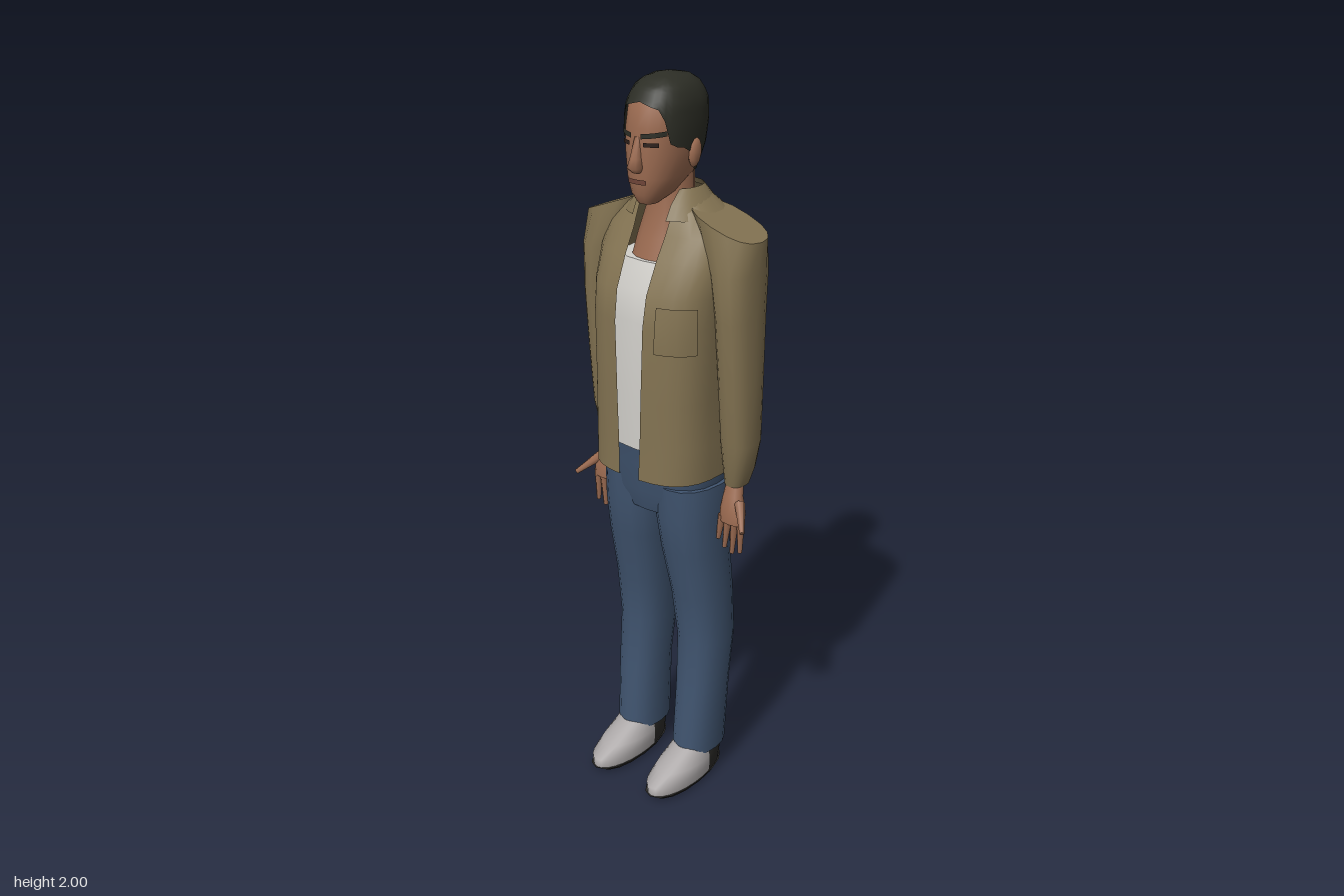
import * as THREE from 'three';

const mat = (name, color, side = THREE.FrontSide) => {
  const m = new THREE.MeshStandardMaterial({ color, side });
  m.name = name;
  return m;
};

// A ring is [y, half width, back z, front z, centre x, tilt]; angle 0 faces +z.
const ringPoint = (r, a, n, grow = 0) => {
  const [y, rx, zb, zf, cx = 0, tilt = 0] = r;
  const bend = (v) => Math.sign(v) * Math.pow(Math.abs(v), 2 / n);
  const dx = (rx + grow) * bend(Math.sin(a));
  return [cx + dx, y + tilt * dx, (zb + zf) / 2 + ((zf - zb) / 2 + grow) * bend(Math.cos(a))];
};

// Angle at which a ring reaches sideways distance w on its front half
const angleAt = (w, r, n) => Math.sign(w) * Math.asin(Math.min(1, Math.pow(Math.abs(w) / r[1], n / 2)));

const ringAt = (rings, y) => {
  let i = 0;
  while (i < rings.length - 2 && y > rings[i + 1][0]) i++;
  const t = (y - rings[i][0]) / (rings[i + 1][0] - rings[i][0]);
  return rings[i].map((v, k) => v + (rings[i + 1][k] - v) * t);
};

// Smooth surface from a grid of points, rows going up
function gridMesh(name, material, rows, cols, point, closed = false, caps = false) {
  const pos = [], index = [], w = closed ? cols : cols + 1;
  for (let i = 0; i <= rows; i++) for (let j = 0; j < w; j++) pos.push(...point(i, j / cols));
  for (let i = 0; i < rows; i++) for (let j = 0; j < cols; j++) {
    const a = i * w + j, b = i * w + (j + 1) % w, c = b + w, d = a + w;
    index.push(a, b, c, a, c, d);
  }
  if (caps) for (const row of [0, rows]) {
    const s = pos.length / 3, mid = [0, 0, 0];
    for (let j = 0; j < cols; j++) {
      const p = point(row, j / cols);
      pos.push(...p);
      p.forEach((v, k) => { mid[k] += v / cols; });
    }
    pos.push(...mid);
    for (let j = 0; j < cols; j++) {
      const a = s + j, b = s + (j + 1) % cols;
      if (row) index.push(a, b, s + cols); else index.push(b, a, s + cols);
    }
  }
  const g = new THREE.BufferGeometry();
  g.setAttribute('position', new THREE.Float32BufferAttribute(pos, 3));
  g.setIndex(index);
  g.computeVertexNormals();
  const mesh = new THREE.Mesh(g, material);
  mesh.name = name;
  return mesh;
}

// Loft through rings, either all round or between two angles
function loft(name, material, rings, { n = 2.2, seg = 16, from, to, grow = 0 } = {}) {
  return gridMesh(name, material, rings.length - 1, seg, (i, u) => {
    const r = rings[i];
    const a = from ? from(r) : -Math.PI, b = from ? to(r) : Math.PI;
    return ringPoint(r, a + (b - a) * u, n, grow);
  }, !from, !from);
}

// Thin plate following a lofted body between x0..x1 and y0..y1
function patch(name, material, rings, n, x0, x1, y0, y1, grow, slope = 0) {
  return gridMesh(name, material, 2, 4, (i, u) => {
    const y = y0 + (y1 - y0) * i / 2 + slope * (u - 0.5);
    const r = ringAt(rings, y);
    const a = angleAt(x0, r, n), b = angleAt(x1, r, n);
    return ringPoint(r, a + (b - a) * u, n, grow);
  });
}

function limb(name, material, p, q, r0, r1) {
  const a = new THREE.Vector3(...p), b = new THREE.Vector3(...q), d = b.clone().sub(a);
  const m = new THREE.Mesh(new THREE.CylinderGeometry(r1, r0, d.length(), 6), material);
  m.position.copy(a).addScaledVector(d, 0.5);
  m.quaternion.setFromUnitVectors(new THREE.Vector3(0, 1, 0), d.normalize());
  m.name = name;
  return m;
}

export function createModel() {
  const model = new THREE.Group();
  model.name = 'standingMan';
  const add = (...m) => model.add(...m);
  const jacket = mat('jacketTan', 0x837352, THREE.DoubleSide);
  const denim = mat('denimBlue', 0x40546f);
  const skin = mat('skin', 0x9a6a50);
  const hair = mat('hairDark', 0x2c2d25, THREE.DoubleSide);
  const shirtWhite = mat('shirtWhite', 0xd2d0cb);
  const shoeGrey = mat('shoeGrey', 0xaaa6a6);
  const dark = mat('soleDark', 0x2b2a27);
  const lip = mat('lip', 0x74483b);
  const eyeDark = mat('eyeDark', 0x2a1d18);

  // Jacket body, open down the front
  const body = [
    [0.98, 0.178, -0.185, 0.145], [1.08, 0.178, -0.168, 0.142], [1.2, 0.175, -0.155, 0.142],
    [1.4, 0.18, -0.163, 0.14], [1.48, 0.185, -0.172, 0.128], [1.56, 0.19, -0.178, 0.092],
    [1.62, 0.18, -0.165, 0.058], [1.67, 0.13, -0.14, 0.037], [1.715, 0.07, -0.105, 0.02],
  ];
  const gap = (r, n) => angleAt(0.032 + 0.03 * (r[0] - 0.98), r, n);
  const open = (n) => ({ n, seg: 28, from: (r) => gap(r, n), to: (r) => 2 * Math.PI - gap(r, n) });
  add(loft('jacketBody', jacket, body, open(2.8)));
  add(loft('collar', jacket, [
    [1.655, 0.125, -0.15, 0.065], [1.69, 0.1, -0.135, 0.05], [1.725, 0.072, -0.11, 0.025],
  ], open(2.3)));
  add(patch('chestPocket', jacket, body, 2.8, 0.08, 0.165, 1.34, 1.46, 0.007));

  // Shirt, chest and neck
  add(loft('shirt', shirtWhite, [
    [1.05, 0.15, -0.13, 0.118], [1.2, 0.15, -0.13, 0.122], [1.4, 0.15, -0.14, 0.12],
    [1.48, 0.14, -0.14, 0.108], [1.55, 0.12, -0.13, 0.082],
  ], { n: 2.6 }));
  add(loft('neck', skin, [
    [1.5, 0.1, -0.12, 0.085], [1.6, 0.08, -0.1, 0.055], [1.68, 0.058, -0.085, 0.03],
    [1.78, 0.056, -0.085, 0.03],
  ]));

  // Trousers
  add(loft('hips', denim, [
    [0.86, 0.12, -0.12, 0.08], [0.92, 0.165, -0.145, 0.096], [1.0, 0.165, -0.15, 0.105],
    [1.06, 0.158, -0.14, 0.116],
  ], { n: 2.6, seg: 20 }));

  for (const s of [1, -1]) {
    const side = s > 0 ? 'left' : 'right';
    const mirror = (rings) => rings.map(([y, rx, zb, zf, cx, t = 0]) => [y, rx, zb, zf, s * cx, s * t]);

    add(loft(side + 'Leg', denim, mirror([
      [0.09, 0.064, -0.118, 0.05, 0.103], [0.3, 0.066, -0.127, 0.035, 0.106],
      [0.45, 0.071, -0.145, 0.024, 0.104], [0.6, 0.077, -0.135, 0.042, 0.099],
      [0.75, 0.083, -0.122, 0.075, 0.092], [0.85, 0.088, -0.126, 0.09, 0.088],
      [0.95, 0.088, -0.15, 0.096, 0.088],
    ]), { n: 2.3 }));

    // Shoe: sole, pale front and dark heel
    const shoe = mirror([
      [0.015, 0.06, -0.112, 0.183, 0.103], [0.045, 0.063, -0.115, 0.185, 0.103],
      [0.07, 0.061, -0.115, 0.14, 0.103], [0.11, 0.055, -0.112, 0.052, 0.103],
    ]);
    const split = (r) => Math.acos((-0.01 - (r[2] + r[3]) / 2) / ((r[3] - r[2]) / 2));
    add(loft(side + 'Sole', dark, mirror([
      [0, 0.053, -0.105, 0.165, 0.103], [0.017, 0.063, -0.115, 0.188, 0.103],
    ])));
    add(loft(side + 'ShoeFront', shoeGrey, shoe, { n: 2, from: (r) => -split(r), to: split }));
    add(loft(side + 'ShoeHeel', dark, shoe, { n: 2, from: split, to: (r) => 2 * Math.PI - split(r) }));

    // Sleeve with a sloping shoulder cap
    add(loft(side + 'Sleeve', jacket, mirror([
      [0.955, 0.028, -0.085, -0.015, 0.208], [1.0, 0.036, -0.097, -0.005, 0.213],
      [1.08, 0.046, -0.102, 0.008, 0.219], [1.25, 0.048, -0.105, 0.025, 0.219],
      [1.42, 0.05, -0.11, 0.04, 0.217], [1.54, 0.06, -0.12, 0.045, 0.207],
      [1.655, 0.098, -0.12, 0.03, 0.17, -0.37],
    ]), { n: 2.4 }));

    // Hand, palm forward with the thumb outward
    add(loft(side + 'Palm', skin, mirror([
      [0.855, 0.036, -0.028, 0.004, 0.221], [0.89, 0.039, -0.036, 0.004, 0.221],
      [0.93, 0.028, -0.05, -0.008, 0.212], [0.98, 0.021, -0.068, -0.025, 0.207],
    ]), { seg: 10 }));
    [[0.19, 0.178, 0.795], [0.21, 0.199, 0.775], [0.231, 0.224, 0.765], [0.25, 0.25, 0.775]].forEach(([x, tip, y]) =>
      add(limb(side + 'Finger', skin, [s * x, 0.87, -0.012], [s * tip, y, -0.012], 0.011, 0.006)));
    add(limb(side + 'Thumb', skin, [s * 0.24, 0.915, -0.02], [s * 0.29, 0.865, 0.036], 0.015, 0.007));
  }

  // Head
  const skull = [
    [1.695, 0.024, 0.035, 0.085], [1.72, 0.046, -0.03, 0.1], [1.76, 0.066, -0.08, 0.104],
    [1.82, 0.078, -0.108, 0.104], [1.88, 0.081, -0.119, 0.101], [1.93, 0.079, -0.116, 0.091],
    [1.965, 0.066, -0.1, 0.068], [1.985, 0.042, -0.068, 0.036], [1.993, 0.002, -0.018, -0.014],
  ];
  add(loft('head', skin, skull, { n: 2.3, seg: 20 }));

  // Hair cap trimmed along a hairline given as [angle from front, height]
  const line = [[0, 1.94], [0.6, 1.925], [0.85, 1.89], [1.0, 1.84], [1.5, 1.83], [1.85, 1.77], [3.15, 1.755]];
  const hairline = (a) => {
    const i = line.findIndex((p) => p[0] >= a) || 1;
    const [p, q] = [line[i - 1], line[i]];
    return p[1] + (q[1] - p[1]) * (a - p[0]) / (q[0] - p[0]);
  };
  add(gridMesh('hair', hair, 10, 32, (i, u) => {
    const a = -Math.PI + 2 * Math.PI * u, low = hairline(Math.abs(a));
    const t = 1 - (1 - i / 10) ** 1.4;
    const [x, y, z] = ringPoint(ringAt(skull, low + (1.993 - low) * t), a, 2.3);
    return [x * 1.07, y + 0.007 * t, -0.012 + (z + 0.012) * 1.06];
  }, true));

  // Face details
  add(loft('nose', skin, [
    [1.775, 0.012, 0.085, 0.114], [1.787, 0.019, 0.085, 0.13], [1.81, 0.014, 0.085, 0.122],
    [1.86, 0.008, 0.085, 0.105],
  ], { seg: 8 }));
  add(patch('mouth', lip, skull, 2.3, -0.026, 0.026, 1.747, 1.759, 0.004));
  for (const s of [1, -1]) {
    const span = (a, b) => (s > 0 ? [a, b] : [-b, -a]);
    add(patch('eyebrow', hair, skull, 2.3, ...span(0.014, 0.064), 1.861, 1.873, 0.005, s * 0.008));
    add(patch('eye', eyeDark, skull, 2.3, ...span(0.02, 0.052), 1.839, 1.849, 0.004));
    const ear = new THREE.Mesh(new THREE.SphereGeometry(1, 8, 6), skin);
    ear.name = 'ear';
    ear.scale.set(0.012, 0.036, 0.02);
    ear.position.set(s * 0.085, 1.815, -0.014);
    ear.rotation.x = -0.2;
    add(ear);
  }
  return model;
}
